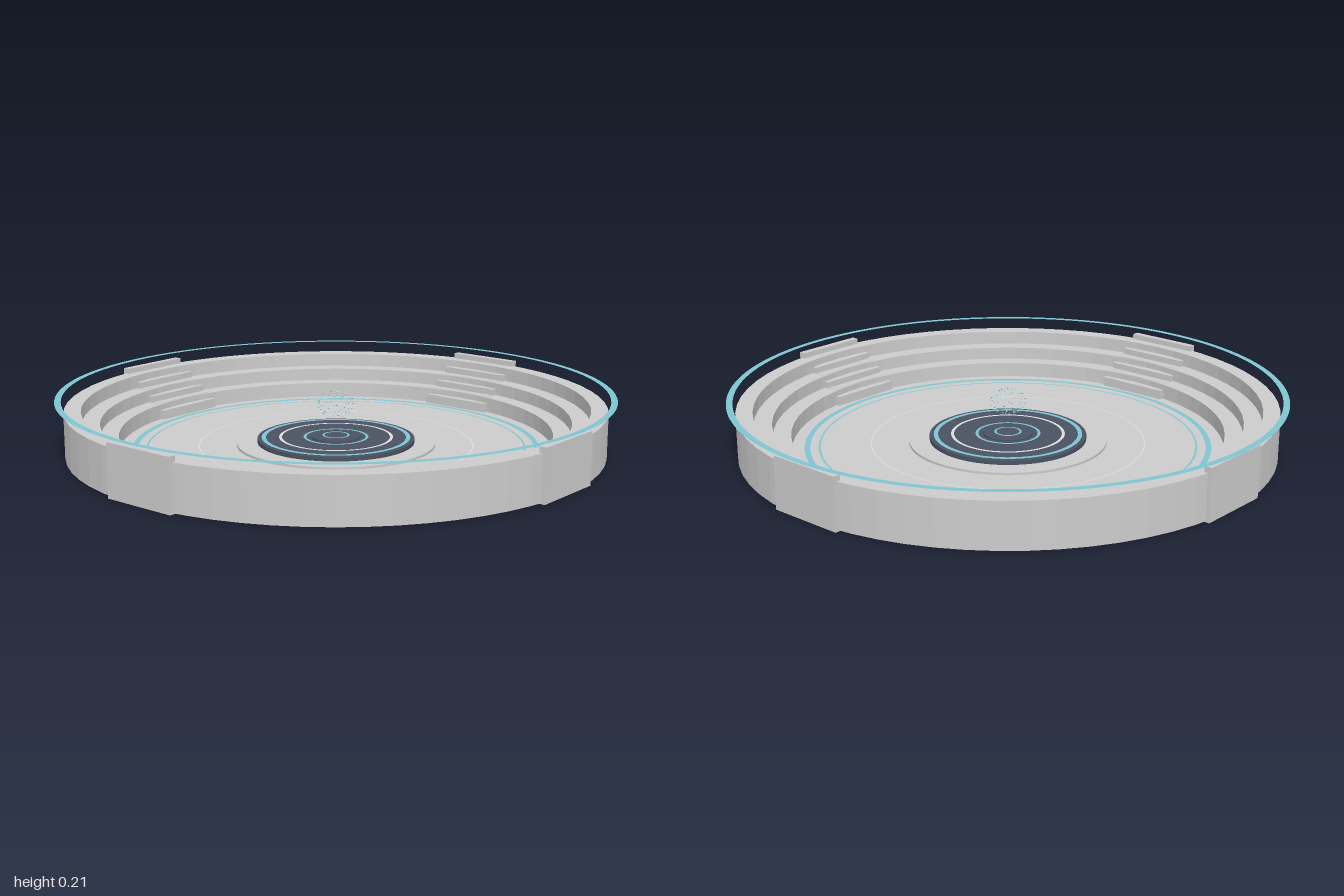
import * as THREE from 'three';
import { toCreasedNormals } from 'three/addons/utils/BufferGeometryUtils.js';

const stone = new THREE.MeshStandardMaterial({ color: 0xcccccc });
stone.name = 'pale stone';
const dark = new THREE.MeshStandardMaterial({ color: 0x4a5362 });
dark.name = 'dark slate';
const teal = new THREE.MeshStandardMaterial({ color: 0x7fc4d2, side: THREE.DoubleSide });
teal.name = 'glowing teal';
const white = new THREE.MeshStandardMaterial({ color: 0xdcdcdc, side: THREE.DoubleSide });
white.name = 'soft white';

export function createModel() {
  const model = new THREE.Group();
  model.name = 'arena';

  const add = (name, geometry, material, y = 0, parent = model) => {
    const mesh = new THREE.Mesh(geometry, material);
    mesh.name = name;
    mesh.position.y = y;
    parent.add(mesh);
    return mesh;
  };
  const disc = (name, radius, bottom, top, material) =>
    add(name, new THREE.CylinderGeometry(radius, radius, top - bottom, 96), material, (top + bottom) / 2);
  const ring = (name, inner, outer, y, material) =>
    add(name, new THREE.RingGeometry(inner, outer, 128).rotateX(-Math.PI / 2), material, y);

  // Floor and stepped seating bowl
  disc('floor', 0.78, 0, 0.012, stone);
  const profile = [
    [0.77, 0.004], [0.97, 0.004], [0.97, 0.167], [0.91, 0.167], [0.91, 0.116],
    [0.845, 0.116], [0.845, 0.069], [0.78, 0.069], [0.78, 0.004],
  ].map(([r, y]) => new THREE.Vector2(r, y));
  add('seatingTiers', toCreasedNormals(new THREE.LatheGeometry(profile, 64), 0.05), stone);

  // Four straight stairways cutting through the tiers
  for (let side = 0; side < 4; side++) {
    const stairs = new THREE.Group();
    stairs.name = 'stairway';
    for (let i = 0; i < 7; i++) {
      const height = 0.047 + i * 0.02333;
      const depth = i === 6 ? 0.027 : 0.0325;
      const step = add('step', new THREE.BoxGeometry(0.284, height, depth), stone, height / 2, stairs);
      step.position.z = 0.75 + i * 0.0325 + depth / 2;
    }
    stairs.rotation.y = side * Math.PI / 2;
    model.add(stairs);
  }

  // Central platform
  disc('platformBase', 0.36, 0.01, 0.021, stone);
  disc('platform', 0.285, 0.02, 0.036, dark);
  disc('platformHub', 0.09, 0.035, 0.042, dark);

  // Flat light rings
  ring('floorLightWide', 0.715, 0.735, 0.014, teal);
  ring('floorLightThin', 0.678, 0.685, 0.014, teal);
  ring('floorMarking', 0.494, 0.498, 0.014, white);
  ring('platformOuterLight', 0.254, 0.27, 0.038, teal);
  ring('platformMarking', 0.196, 0.207, 0.038, white);
  ring('platformInnerLight', 0.108, 0.118, 0.038, teal);
  ring('hubLight', 0.042, 0.05, 0.044, teal);
  ring('floatingHalo', 0.977, 1, 0.207, teal);

  // Small floating sparks above the hub, on a spiral dome
  const sparks = new THREE.Group();
  sparks.name = 'sparks';
  for (let i = 0; i < 56; i++) {
    const v = 1 - (i + 0.5) / 28;
    const r = 0.065 * Math.sqrt(1 - v * v);
    const a = i * 2.39996;
    const spark = add('spark', new THREE.OctahedronGeometry(0.0035), teal, 0.16 + 0.045 * v, sparks);
    spark.position.x = r * Math.cos(a);
    spark.position.z = r * Math.sin(a);
  }
  model.add(sparks);

  return model;
}
